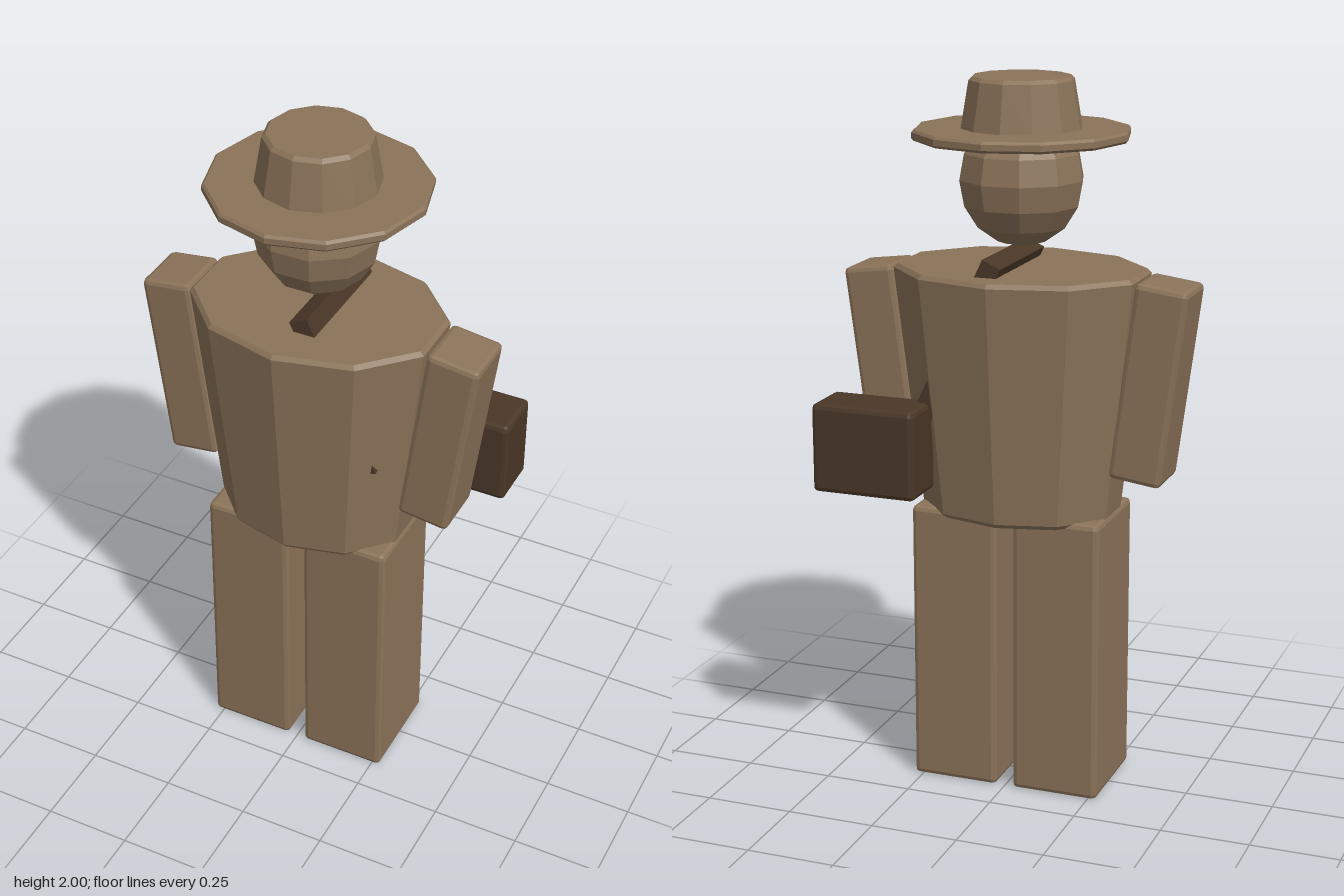
import * as THREE from 'three';
import { RoundedBoxGeometry } from 'three/addons/geometries/RoundedBoxGeometry.js';

// faceted copy of a geometry
function faceted(geometry) {
  const g = geometry.index ? geometry.toNonIndexed() : geometry;
  g.computeVertexNormals();
  return g;
}

// tapered prism with small chamfers on both rims
function taperedPrism(rBottom, rTop, y0, y1, sides, c) {
  const profile = [
    [0, y0], [rBottom - c, y0], [rBottom, y0 + c],
    [rTop, y1 - c], [rTop - c, y1], [0, y1],
  ].map(([x, y]) => new THREE.Vector2(x, y));
  return faceted(new THREE.LatheGeometry(profile, sides));
}

export function createModel() {
  const model = new THREE.Group();
  model.name = 'travellerFigure';

  const tan = new THREE.MeshStandardMaterial({ color: 0x8b7359 });
  tan.name = 'tan';
  const darkBrown = new THREE.MeshStandardMaterial({ color: 0x4a3728 });
  darkBrown.name = 'darkBrown';

  function add(name, geometry, material, x = 0, y = 0, z = 0.0075) {
    const mesh = new THREE.Mesh(geometry, material);
    mesh.name = name;
    mesh.position.set(x, y, z);
    model.add(mesh);
    return mesh;
  }
  const block = (w, h, d) => faceted(new RoundedBoxGeometry(w, h, d, 1, 0.014));

  // legs and outward-leaning arms
  for (const [side, s] of [['left', 1], ['right', -1]]) {
    add(side + 'Leg', block(0.25, 0.81, 0.3), tan, s * 0.15, 0.405, 0.01);
    const arm = add(side + 'Arm', block(0.148, 0.55, 0.17), tan, s * 0.388, 1.195, 0.006);
    arm.rotation.z = -s * 0.13;
  }

  // ten-sided torso, wider than deep
  add('torso', taperedPrism(0.284, 0.362, 0.795, 1.485, 10, 0.012), tan).scale.z = 0.76;

  // head
  const head = add('head', faceted(new THREE.SphereGeometry(0.174, 10, 8)), tan, 0, 1.725);
  head.scale.y = 1.06;

  // hat
  add('hatBrim', taperedPrism(0.299, 0.299, 1.832, 1.862, 12, 0.007), tan);
  add('hatCrown', taperedPrism(0.167, 0.144, 1.845, 2, 12, 0.01), tan);

  // slanted strap through the torso
  const strap = add('strap', new THREE.BoxGeometry(0.056, 0.48, 0.345), darkBrown, 0.117, 1.305, -0.0145);
  strap.rotation.z = 0.44;

  // bag at the back of the left hip
  add('bag', block(0.3, 0.25, 0.16), darkBrown, 0.348, 1, -0.225);

  return model;
}
